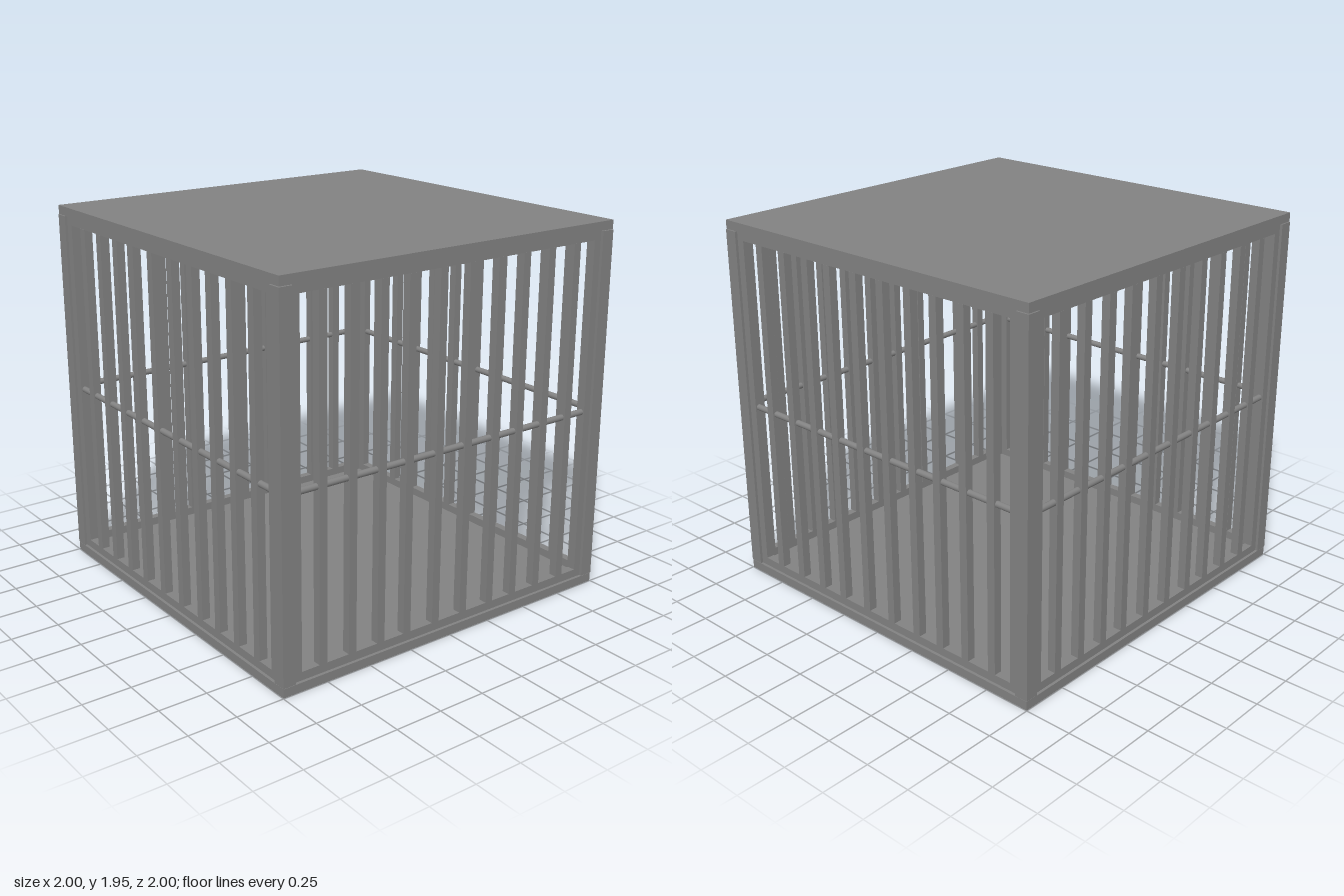
import * as THREE from 'three';

const material = new THREE.MeshStandardMaterial({ color: 0x828282 });

const H = 1.95;        // overall height
const SLAB = 0.046;    // floor and roof thickness
const GAP = 0.003;     // seam between slabs and frame
const POST = 0.071;    // corner post width
const RAIL = 0.043;    // frame member width
const BAR = 0.044;     // upright bar width
const WALL = 1 - POST / 2; // wall centre distance
const BAR_X = [-0.765, -0.596, -0.427, -0.267, -0.086, 0.093, 0.271, 0.431, 0.597, 0.768];

function box(name, w, h, d, x, y, z) {
  const mesh = new THREE.Mesh(new THREE.BoxGeometry(w, h, d), material);
  mesh.name = name;
  mesh.position.set(x, y, z);
  return mesh;
}

// One barred wall, facing +z
function createWall(name) {
  const wall = new THREE.Group();
  wall.name = name;
  const bottom = SLAB + GAP;
  const top = H - bottom;
  const span = 2 * (1 - POST);

  // Surrounding frame
  wall.add(box('bottomRail', span, RAIL, RAIL, 0, bottom + RAIL / 2, WALL));
  wall.add(box('topRail', span, RAIL, RAIL, 0, top - RAIL / 2, WALL));
  const barHeight = top - bottom - 2 * RAIL;
  for (const s of [-1, 1]) {
    wall.add(box('stile', RAIL, barHeight, RAIL, s * (1 - POST - RAIL / 2), H / 2, WALL));
  }

  // Upright bars
  for (const x of BAR_X) wall.add(box('bar', BAR, barHeight, BAR, x, H / 2, WALL));

  // Round rod threaded through the bars
  const rod = new THREE.Mesh(new THREE.CylinderGeometry(0.016, 0.016, span - RAIL, 16), material);
  rod.name = 'crossRod';
  rod.rotation.z = Math.PI / 2;
  rod.position.set(0, 0.968, WALL);
  wall.add(rod);
  return wall;
}

export function createModel() {
  const cage = new THREE.Group();
  cage.name = 'cage';

  // Floor and roof slabs
  cage.add(box('floor', 1.996, SLAB, 1.996, 0, SLAB / 2, 0));
  cage.add(box('roof', 1.996, SLAB, 1.996, 0, H - SLAB / 2, 0));

  // Corner posts
  for (const x of [-WALL, WALL]) {
    for (const z of [-WALL, WALL]) {
      cage.add(box('cornerPost', POST, H - 2 * (SLAB + GAP), POST, x, H / 2, z));
    }
  }

  // Four walls turned around the centre
  ['frontWall', 'leftWall', 'backWall', 'rightWall'].forEach((name, i) => {
    const wall = createWall(name);
    wall.rotation.y = i * Math.PI / 2;
    cage.add(wall);
  });
  return cage;
}
